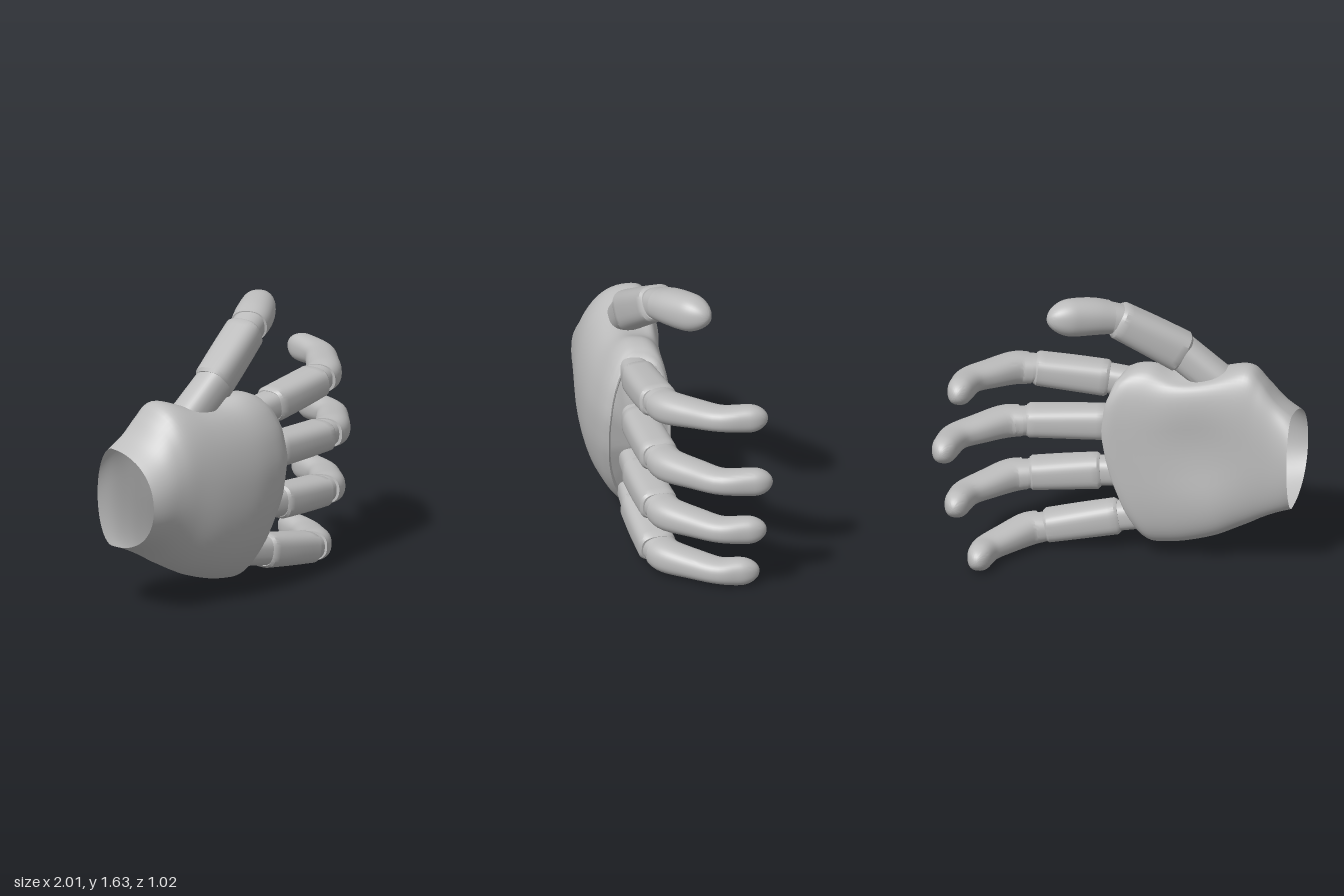
import * as THREE from 'three';
import { toCreasedNormals } from 'three/addons/utils/BufferGeometryUtils.js';

const V = (x, y, z) => new THREE.Vector3(x, y, z);
const SIDES = 40;
const pw = (v, n) => Math.sign(v) * Math.pow(Math.abs(v), 2 / n);

// Skin a list of equal rings; optional closing points at either end
function loft(rings, start, end) {
  const n = rings[0].length, pos = [], idx = [];
  rings.forEach(r => r.forEach(p => pos.push(p.x, p.y, p.z)));
  for (let i = 0; i < rings.length - 1; i++) {
    for (let j = 0; j < n; j++) {
      const a = i * n + j, b = i * n + (j + 1) % n;
      idx.push(a, b, b + n, a, b + n, a + n);
    }
  }
  const close = (p, row, flip) => {
    const c = pos.length / 3;
    pos.push(p.x, p.y, p.z);
    for (let j = 0; j < n; j++) {
      const a = row * n + j, b = row * n + (j + 1) % n;
      idx.push(c, flip ? b : a, flip ? a : b);
    }
  };
  if (start) close(start, 0, true);
  if (end) close(end, rings.length - 1, false);
  const g = new THREE.BufferGeometry();
  g.setAttribute('position', new THREE.Float32BufferAttribute(pos, 3));
  g.setIndex(idx);
  return toCreasedNormals(g, 0.65);
}

// Sweep a rounded section along rows of [x, y, z, halfWidth, halfDepth].
// round = share of the length given to a domed tip, bevel = softened ends.
function limb(rows, { n = 2.4, steps = 8, round = 0, bevel = 0 } = {}) {
  const path = new THREE.CatmullRomCurve3(rows.map(r => V(r[0], r[1], r[2])), false, 'catmullrom');
  const size = new THREE.CatmullRomCurve3(rows.map(r => V(r[3], r[4], 0)), false, 'catmullrom');
  const ts = [];
  for (let i = 0; i <= steps; i++) ts.push(i / steps);
  if (bevel) ts.splice(1, 0, bevel), ts.splice(ts.length - 1, 0, 1 - bevel);
  if (round) {
    while (ts[ts.length - 1] > 1 - round) ts.pop();
    for (let i = 0; i < 10; i++) ts.push(1 - round + round * Math.sin(i / 10 * Math.PI / 2));
  }
  const rings = ts.map(t => {
    const c = path.getPoint(t), T = path.getTangent(t), s = size.getPoint(t);
    const W = V(0, 1, 0).addScaledVector(T, -T.y).normalize();
    const D = T.clone().cross(W);
    let k = 1;
    if (round && t > 1 - round) k = Math.sqrt(1 - ((t - 1 + round) / round) ** 2);
    if (bevel && (t === 0 || t === 1)) k = 0.88;
    return Array.from({ length: SIDES }, (_, j) => {
      const a = j / SIDES * Math.PI * 2;
      return c.clone().addScaledVector(W, pw(Math.cos(a), n) * s.x * k)
        .addScaledVector(D, pw(Math.sin(a), n) * s.y * k);
    });
  });
  return loft(rings, path.getPoint(0), path.getPoint(1));
}

// Curved knuckle edge of the palm: x as a function of height
const edge = [[0.05, -0.16], [0.1, -0.13], [0.3, -0.03], [0.55, 0.065], [0.77, 0.105],
  [0.95, 0.085], [1.08, 0.035], [1.16, -0.04], [1.25, -0.09]];
function edgeX(y) {
  let i = 0;
  while (i < edge.length - 2 && y > edge[i + 1][0]) i++;
  const [a, b] = [edge[i], edge[i + 1]];
  return THREE.MathUtils.lerp(a[1], b[1], THREE.MathUtils.clamp((y - a[0]) / (b[0] - a[0]), 0, 1));
}

function palmGeometry() {
  // [station, top, bottom, front, back]
  const rows = [[0, 0.965, 0.385, 0.485, -0.02], [0.09, 1.035, 0.35, 0.495, 0.01], [0.19, 1.14, 0.3, 0.5, 0.02],
    [0.3, 1.213, 0.24, 0.505, 0.02], [0.5, 1.18, 0.155, 0.508, 0.018], [0.72, 1.15, 0.1, 0.485, 0.012],
    [0.88, 1.163, 0.08, 0.44, 0.005], [0.96, 1.155, 0.08, 0.405, 0], [1, 1.13, 0.1, 0.37, 0.005]];
  const A = new THREE.CatmullRomCurve3(rows.map(r => V(r[0], r[1], r[2])), false, 'catmullrom');
  const B = new THREE.CatmullRomCurve3(rows.map(r => V(r[3], r[4], 0)), false, 'catmullrom');
  const ring = (t, k, dx) => {
    const p = A.getPoint(t), q = B.getPoint(t), s = p.x;
    const mid = (p.y + p.z) / 2, half = (p.y - p.z) / 2 * k;
    const cz = 0.2 - 0.09 * (1 - THREE.MathUtils.smoothstep(s, 0, 0.45));
    return Array.from({ length: 64 }, (_, j) => {
      let a = j / 64 * Math.PI * 2;
      if (a > Math.PI) a -= Math.PI * 2;
      const c = Math.cos(a), sn = Math.sin(a), n = sn >= 0 ? 2.15 : 2 + 1.2 * Math.min(1, s * 2.2);
      let y = mid + half * pw(c, n);
      let z = cz + pw(sn, n) * k * (sn >= 0 ? q.x - cz : cz - q.y);
      // hollow of the palm and the scoop around the thumb
      if (sn < 0) z += 0.035 * sn * sn * Math.exp(-(((s - 0.5) / 0.22) ** 2)) * Math.exp(-(((y - 0.7) / 0.25) ** 2));
      y -= 0.055 * Math.exp(-(((s - 0.6) / 0.18) ** 2)) * Math.exp(-(((a + 0.15) / 0.42) ** 2));
      return V(-1 + s * (1 + edgeX(y)) + dx, y, z);
    });
  };
  const rings = [];
  for (let i = 0; i <= 48; i++) rings.push(ring(i / 48, 1, 0));
  // rim and knuckle face
  for (const [k, dx] of [[0.965, 0.008], [0.93, 0.004], [0.9, -0.01], [0.6, -0.01], [0.3, -0.01]]) rings.push(ring(1, k, dx));
  return loft(rings, null, V(0.07, 0.615, 0.2));
}

export function createModel() {
  const model = new THREE.Group();
  model.name = 'hand';
  const grey = new THREE.MeshStandardMaterial({ color: 0xbcbcbc, side: THREE.DoubleSide });
  grey.name = 'light grey';
  const add = (parent, name, geometry) => {
    const m = new THREE.Mesh(geometry, grey);
    m.name = name;
    parent.add(m);
  };

  add(model, 'palm', palmGeometry());

  // Fingers: base x, y; joint x, y; tip x, y, z
  const fingers = {
    indexFinger: [0.11, 1.045, 0.53, 1.1, 0.845, 1.133, -0.49],
    middleFinger: [0.12, 0.77, 0.58, 0.767, 0.932, 0.765, -0.51],
    ringFinger: [0.16, 0.46, 0.56, 0.437, 0.865, 0.418, -0.48],
    littleFinger: [0.05, 0.187, 0.47, 0.115, 0.738, 0.084, -0.45],
  };
  for (const [name, [bx, by, jx, jy, tx, ty, tz]] of Object.entries(fingers)) {
    const f = new THREE.Group();
    f.name = name;
    model.add(f);
    const slope = (jy - by) / (jx - bx);
    add(f, 'fingerBase', limb([[bx - 0.19, by - 0.19 * slope, 0.22, 0.083, 0.085],
      [bx + 0.03, by + 0.03 * slope, 0.2, 0.083, 0.085]], { n: 2.8 }));
    add(f, 'fingerMiddle', limb([[bx, by, 0.2, 0.1, 0.1], [(bx + jx) / 2, (by + jy) / 2, 0.16, 0.096, 0.107],
      [jx, jy, 0.115, 0.09, 0.11]], { n: 2.9, bevel: 0.04 }));
    add(f, 'fingerJoint', limb([[jx - 0.03, jy, 0.12, 0.08, 0.095], [jx + 0.07, jy + 0.07 * slope, 0.075, 0.08, 0.095]]));
    // curled fingertip: straight run, narrow waist, then a bulb bent back
    const at = (u, z, w, d) => [jx + (tx - jx) * u, jy + (ty - jy) * u, z, w, d];
    add(f, 'fingerTip', limb([at(0.1, 0.1, 0.086, 0.105), at(0.34, 0.06, 0.09, 0.102), at(0.65, -0.07, 0.079, 0.096),
      at(0.94, -0.21, 0.071, 0.088), at(1, tz + 0.13, 0.08, 0.075), at(1, tz, 0.077, 0.066)],
      { n: 2.4, steps: 24, round: 0.17 }));
  }

  // Thumb
  const thumb = new THREE.Group();
  thumb.name = 'thumb';
  model.add(thumb);
  add(thumb, 'thumbBase', limb([[-0.57, 1.06, 0.225, 0.1, 0.1], [-0.3, 1.27, 0.205, 0.104, 0.098]], { n: 2.6 }));
  add(thumb, 'thumbMiddle', limb([[-0.33, 1.25, 0.21, 0.12, 0.105], [-0.15, 1.365, 0.145, 0.113, 0.11],
    [0.035, 1.48, 0.075, 0.105, 0.11]], { n: 2.8, bevel: 0.04 }));
  add(thumb, 'thumbJoint', limb([[0, 1.465, 0.09, 0.09, 0.095], [0.12, 1.51, 0.03, 0.09, 0.095]]));
  add(thumb, 'thumbTip', limb([[0.075, 1.495, 0.055, 0.094, 0.108], [0.16, 1.515, -0.005, 0.105, 0.112],
    [0.26, 1.53, -0.085, 0.108, 0.104], [0.375, 1.55, -0.19, 0.092, 0.084]], { n: 2.3, steps: 20, round: 0.3 }));

  return model;
}
